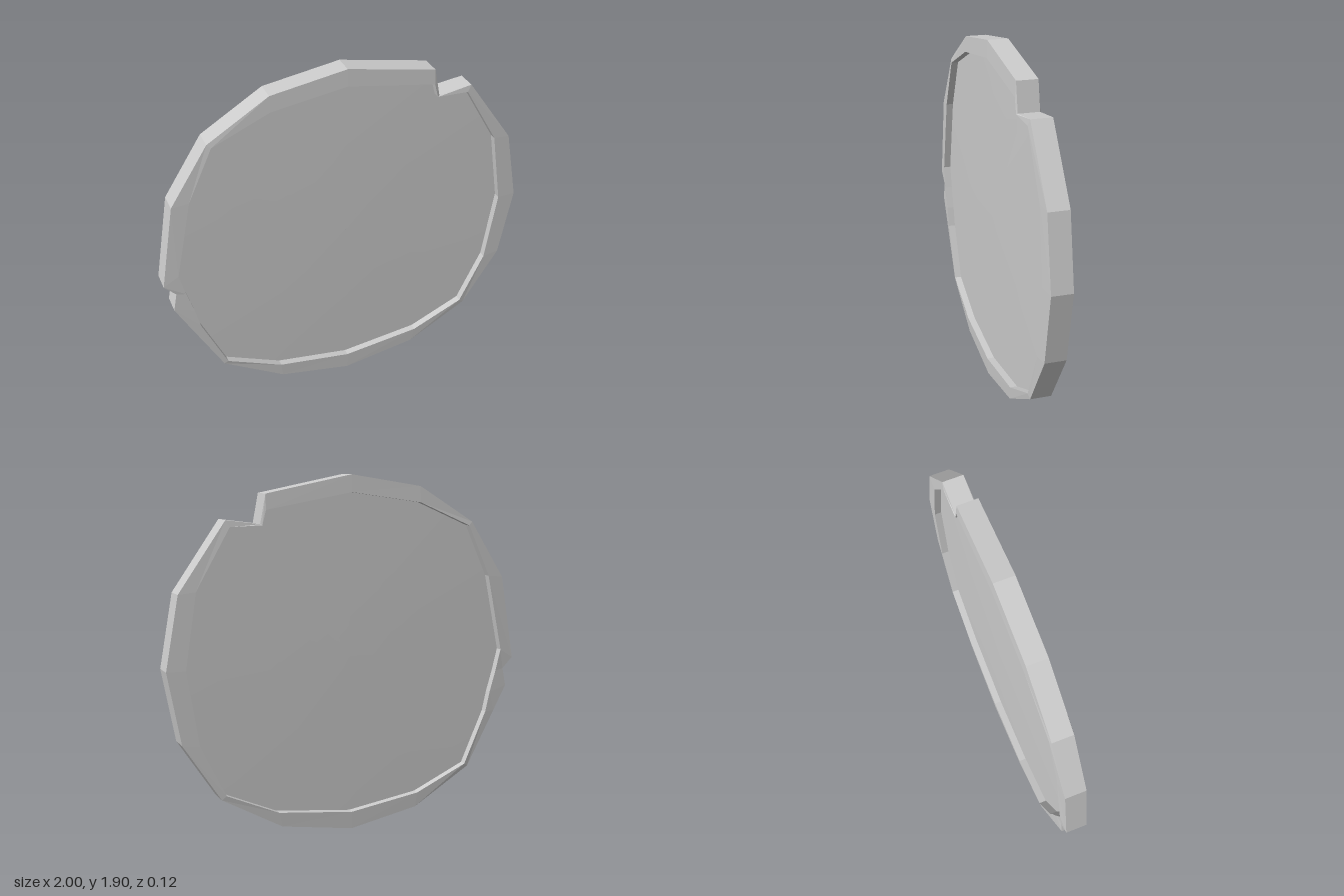
import * as THREE from 'three';

// Outer and inner rim corners, paired, clockwise from the top: [outerX, outerY, innerX, innerY]
const RIM = [
  [0, 1.9, 0, 1.81],
  [0.47, 1.81, 0.47, 1.73], // top notch
  [0.5, 1.66, 0.49, 1.655],
  [0.68, 1.685, 0.66, 1.65],
  [0.93, 1.33, 0.84, 1.34],
  [1, 0.95, 0.9, 0.95],
  [0.93, 0.57, 0.84, 0.56],
  [0.73, 0.26, 0.705, 0.28],
  [0.4, 0.07, 0.42, 0.15],
  [0, 0, 0, 0.095],
  [-0.39, 0.07, -0.4, 0.15],
  [-0.72, 0.265, -0.7, 0.28],
  [-0.885, 0.57, -0.83, 0.57],
  [-0.96, 0.71, -0.855, 0.68], // side chip
  [-0.94, 0.81, -0.89, 0.8],
  [-1, 0.87, -0.92, 0.92],
  [-0.92, 1.33, -0.83, 1.34],
  [-0.72, 1.64, -0.7, 1.62],
  [-0.4, 1.835, -0.4, 1.75],
];
const CENTRE_Y = 0.95;

const outer = (z) => RIM.map(([x, y]) => [x, y, z]);
const inner = (z, s = 1) => RIM.map(([, , x, y]) => [x * s, CENTRE_Y + (y - CENTRE_Y) * s, z]);

// Joins closed rings of equal length, ordered from back to front
function loft(name, rings, flat) {
  const n = RIM.length;
  const index = [];
  for (let r = 0; r < rings.length - 1; r++) {
    for (let i = 0; i < n; i++) {
      const j = (i + 1) % n;
      const a = r * n + i, b = r * n + j, c = a + n, d = b + n;
      index.push(a, c, b, b, c, d);
    }
  }
  let geo = new THREE.BufferGeometry();
  geo.setAttribute('position', new THREE.Float32BufferAttribute(rings.flat(2), 3));
  geo.setIndex(index);
  if (flat) geo = geo.toNonIndexed();
  geo.computeVertexNormals();
  const mesh = new THREE.Mesh(geo, new THREE.MeshStandardMaterial({ color: 0xcccccc, flatShading: flat }));
  mesh.name = name;
  return mesh;
}

export function createModel() {
  const group = new THREE.Group();
  group.name = 'chippedCoin';

  // Raised rim: recess wall, sloping lip and outer edge on both sides
  group.add(loft('rim', [
    inner(-0.022), inner(-0.06), outer(-0.055), outer(0.055), inner(0.06), inner(0.022),
  ], true));

  // Recessed, faintly domed faces
  group.add(loft('frontFace', [inner(0.022), inner(0.028, 0.5), inner(0.03, 0.001)], false));
  group.add(loft('backFace', [inner(-0.03, 0.001), inner(-0.028, 0.5), inner(-0.022)], false));
  return group;
}
